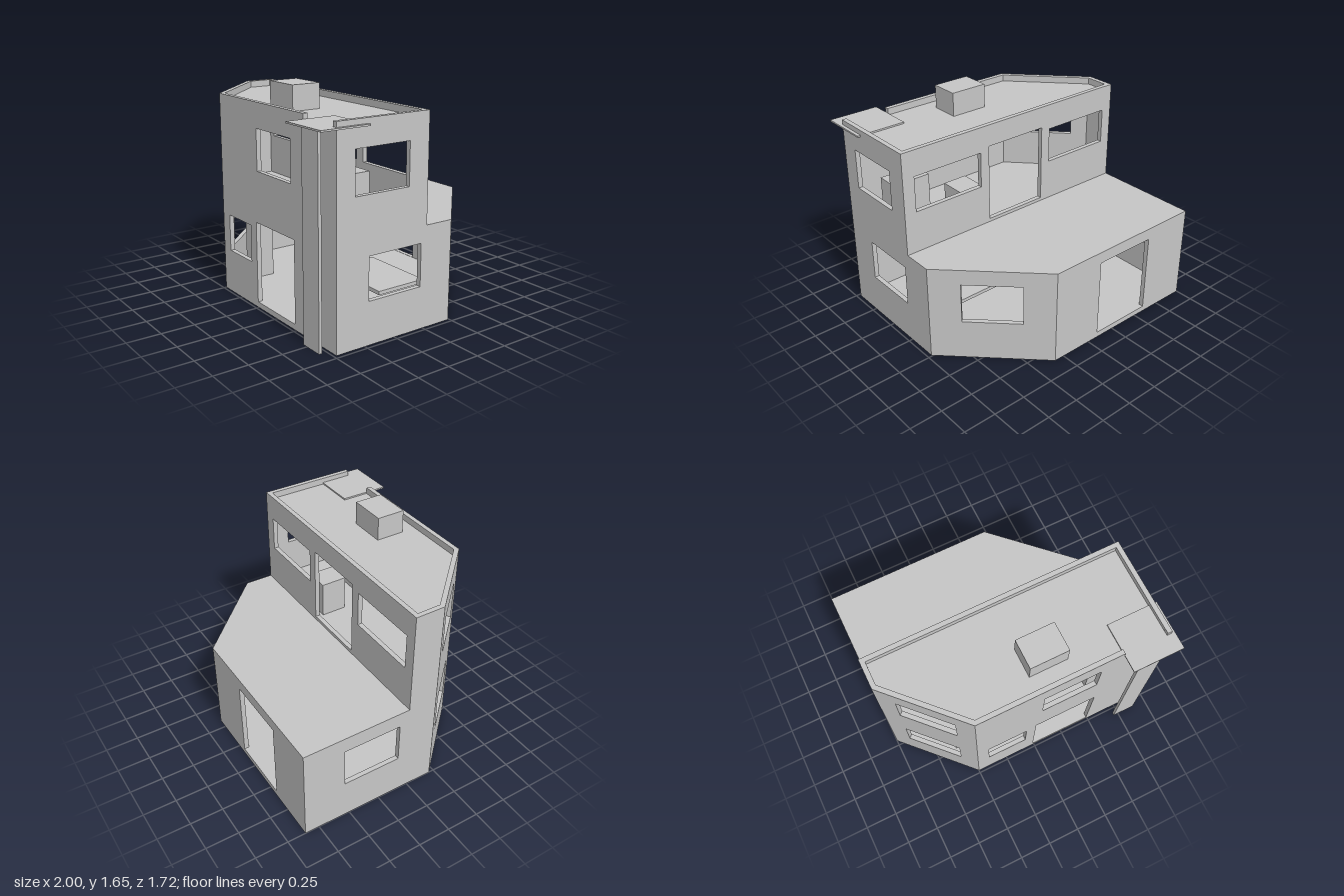
import * as THREE from 'three';

const T = 0.036; // wall thickness
const plaster = new THREE.MeshStandardMaterial({ color: 0xc6c6c6 });
plaster.name = 'plainGrey';

// Plans as [x, z], walked so that each wall's outside is on its right
const groundPlan = [[-0.5, 0.73], [0.97, 0.73], [0.97, -0.24], [0.33, -0.86], [-1, -0.86], [-1, 0.21]];
const upperPlan = [[-0.5, 0.73], [0.97, 0.73], [0.97, -0.017], [-1, -0.017], [-1, 0.21]];

const mesh = (name, geometry) => {
  const m = new THREE.Mesh(geometry, plaster);
  m.name = name;
  return m;
};

const box = (name, x0, x1, y0, y1, z0, z1) => {
  const m = mesh(name, new THREE.BoxGeometry(x1 - x0, y1 - y0, z1 - z0));
  m.position.set((x0 + x1) / 2, (y0 + y1) / 2, (z0 + z1) / 2);
  return m;
};

// Horizontal slab from a plan
const slab = (name, plan, y0, y1) => {
  const shape = new THREE.Shape(plan.map(([x, z]) => new THREE.Vector2(x, -z)));
  const g = new THREE.ExtrudeGeometry(shape, { depth: y1 - y0, bevelEnabled: false });
  g.rotateX(-Math.PI / 2).translate(0, y0, 0);
  return mesh(name, g);
};

// Plan moved inward by the wall thickness
const inset = (plan) => plan.map((p, i) => {
  const n = plan.length, a = plan[(i + n - 1) % n], b = plan[(i + 1) % n];
  const u = new THREE.Vector2(p[0] - a[0], p[1] - a[1]).normalize();
  const v = new THREE.Vector2(b[0] - p[0], b[1] - p[1]).normalize();
  const k = T / (1 + u.dot(v));
  return [p[0] + (u.y + v.y) * k, p[1] - (u.x + v.x) * k];
});

// Upright wall from a to b with mitred ends.
// Holes and notches are [from, to, bottom, top] along the wall's longer plan axis.
function wall(name, a, b, innerA, innerB, y0, y1, holes = [], notch = null) {
  const dx = b[0] - a[0], dz = b[1] - a[1], L = Math.hypot(dx, dz);
  const axis = Math.abs(dx) > Math.abs(dz) ? 0 : 1;
  const along = (v) => (v - a[axis]) / (b[axis] - a[axis]) * L;
  const project = (p) => ((p[0] - a[0]) * dx + (p[1] - a[1]) * dz) / L;
  const pts = [[0, y0], [L, y0], [L, y1]];
  if (notch) {
    const [s0, s1] = [along(notch[0]), along(notch[1])];
    pts.push([s1, y1], [s1, notch[2]], [s0, notch[2]], [s0, y1]);
  }
  pts.push([0, y1]);
  const shape = new THREE.Shape(pts.map((p) => new THREE.Vector2(...p)));
  for (const [v0, v1, h0, h1] of holes) {
    const s0 = Math.min(along(v0), along(v1)), s1 = Math.max(along(v0), along(v1));
    shape.holes.push(new THREE.Path([[s0, h0], [s0, h1], [s1, h1], [s1, h0]].map((p) => new THREE.Vector2(...p))));
  }
  const g = new THREE.ExtrudeGeometry(shape, { depth: T, bevelEnabled: false });
  g.translate(0, 0, -T);
  const pos = g.attributes.position;
  for (let i = 0; i < pos.count; i++) {
    if (pos.getZ(i) > -T / 2) continue;
    if (pos.getX(i) < 1e-4) pos.setX(i, project(innerA));
    else if (pos.getX(i) > L - 1e-4) pos.setX(i, project(innerB));
  }
  g.computeVertexNormals();
  const m = mesh(name, g);
  m.position.set(a[0], 0, a[1]);
  m.rotation.y = Math.atan2(-dz, dx);
  return m;
}

function storey(name, plan, y0, y1, specs) {
  const group = new THREE.Group();
  group.name = name;
  const inner = inset(plan);
  plan.forEach((a, i) => {
    const j = (i + 1) % plan.length;
    const { part, holes, notch } = specs[i];
    group.add(wall(part, a, plan[j], inner[i], inner[j], y0, y1, holes, notch));
  });
  return group;
}

export function createModel() {
  const house = new THREE.Group();
  house.name = 'house';

  // Ground storey
  house.add(slab('groundFloor', groundPlan, 0, 0.04));
  house.add(storey('groundStorey', groundPlan, 0.04, 0.7, [
    { part: 'frontWall', holes: [[-0.405, -0.09, 0.33, 0.61], [-0.01, 0.485, 0.042, 0.65]] },
    { part: 'rightWall', holes: [[0.03, 0.47, 0.31, 0.62]] },
    { part: 'backCornerWall', holes: [[0.495, 0.805, 0.31, 0.62]] },
    { part: 'backWall', holes: [[-0.59, -0.09, 0.042, 0.65]] },
    { part: 'leftWall', holes: [[-0.54, -0.09, 0.31, 0.62]] },
    { part: 'frontCornerWall', holes: [[0.315, 0.626, 0.31, 0.62]] },
  ]));
  house.add(slab('middleFloor', groundPlan, 0.7, 0.74));

  // Upper storey, its walls rising past the roof as a parapet
  house.add(storey('upperStorey', upperPlan, 0.74, 1.52, [
    { part: 'frontWall', holes: [[0.02, 0.455, 1.03, 1.335]], notch: [0.61, 0.935, 1.47] },
    { part: 'rightWall', holes: [[0.145, 0.585, 1.03, 1.335]] },
    { part: 'backWall', holes: [[0.31, 0.876, 1.055, 1.325], [-0.27, 0.235, 0.765, 1.355], [-0.914, -0.348, 1.055, 1.325]] },
    { part: 'leftWall' },
    { part: 'frontCornerWall', holes: [[0.315, 0.626, 1.03, 1.335]] },
  ]));
  house.add(slab('roofDeck', inset(upperPlan), 1.43, 1.47));

  // Roof block, corner canopy and its upright panel
  house.add(box('chimney', -0.03, 0.26, 1.47, 1.65, 0.36, 0.58));
  house.add(box('canopy', 0.61, 0.995, 1.471, 1.483, 0.485, 0.86));
  house.add(box('canopyPanel', 0.71, 0.89, 0, 1.471, 0.787, 0.81));

  // Furnishings
  house.add(box('tabletop', 0.22, 0.8, 0.245, 0.272, -0.15, 0.25));
  house.add(box('column', -0.59, -0.45, 0.04, 0.7, 0.33, 0.49));
  house.add(box('lowCabinet', 0.25, 0.44, 0.74, 1.02, 0.06, 0.26));
  house.add(box('counter', 0.44, 0.75, 0.74, 1.02, 0.46, 0.64));
  return house;
}
